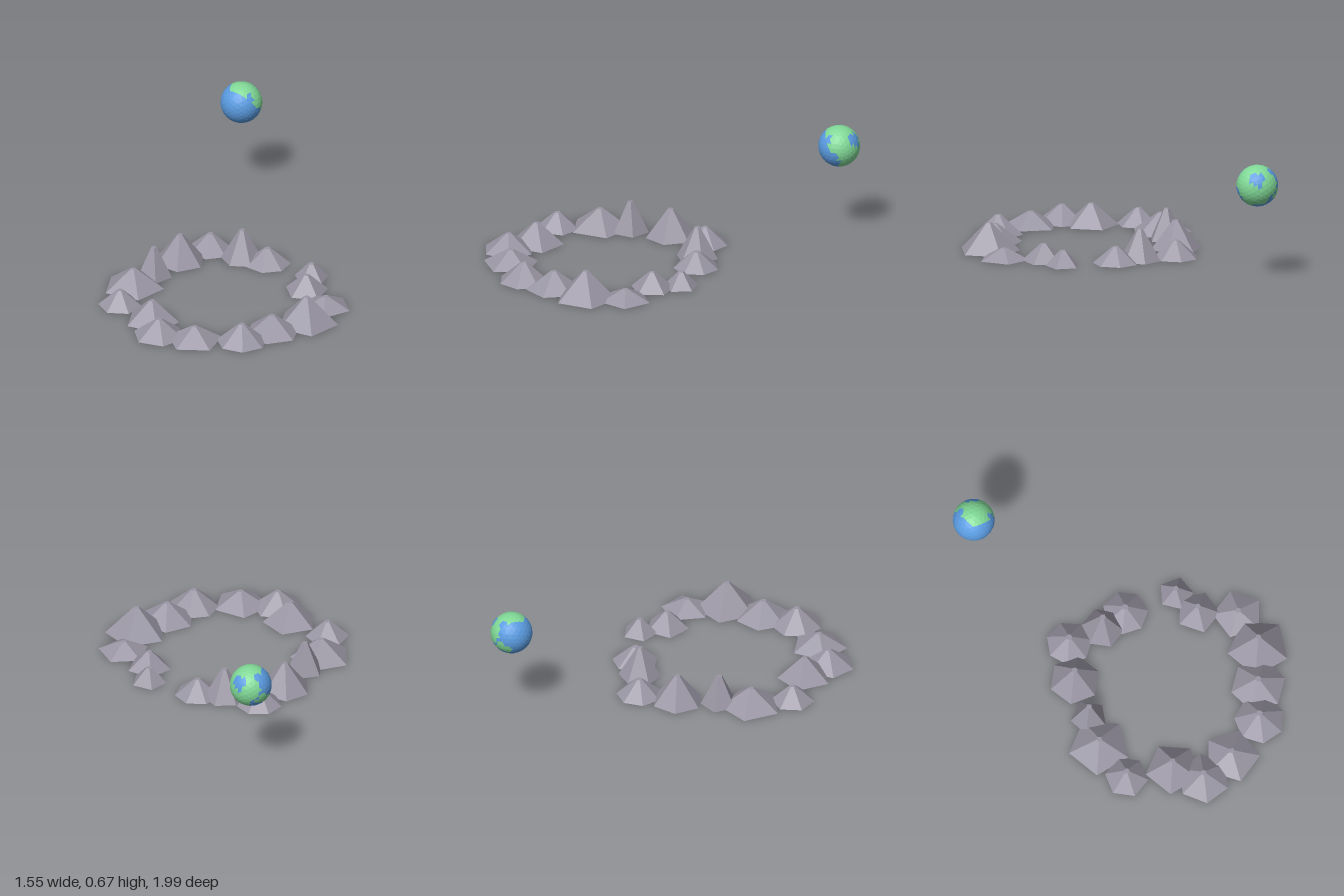
import * as THREE from 'three';

const rock = new THREE.MeshStandardMaterial({ name: 'rock grey', color: 0x9a96a4, flatShading: true });
const ocean = new THREE.MeshStandardMaterial({ name: 'ocean blue', color: 0x5a9be0, flatShading: true });
const land = new THREE.MeshStandardMaterial({ name: 'land green', color: 0x80d896, flatShading: true });

// Each peak: x, z, base radius, height, sides, direction of one corner in degrees
const PEAKS = [
  [-0.37, -0.185, 0.13, 0.1, 7, -90],
  [-0.16, -0.2, 0.12, 0.18, 6, -90],
  [-0.01, -0.238, 0.13, 0.095, 7, -87],
  [0.296, -0.238, 0.1, 0.09, 5, 90],
  [0.37, -0.09, 0.125, 0.1, 5, 95],
  [0.577, 0.005, 0.145, 0.065, 5, -86],
  [0.61, 0.228, 0.177, 0.162, 5, -27],
  [0.524, 0.44, 0.157, 0.106, 6, 6],
  [0.455, 0.635, 0.143, 0.11, 7, 0],
  [0.23, 0.778, 0.16, 0.086, 5, 21],
  [0.033, 0.847, 0.148, 0.1, 6, 104],
  [-0.106, 0.725, 0.155, 0.126, 5, -28],
  [-0.365, 0.677, 0.123, 0.095, 6, 90],
  [-0.44, 0.45, 0.175, 0.115, 5, 188],
  [-0.43, 0.27, 0.105, 0.18, 5, -96],
  [-0.423, 0.032, 0.145, 0.165, 6, 0],
];

// Continents and lakes on the globe: direction and angular radius in degrees
const CONTINENTS = [
  [0.1, 0.95, -0.15, 44], [0.75, 0.45, -0.35, 35], [0.45, -0.35, -0.8, 44],
  [-0.4, 0.3, -0.85, 36], [-0.8, -0.35, -0.4, 22],
];
const LAKES = [[0.3, 0.5, -0.85, 17], [-0.85, 0.45, -0.3, 17]];

function inside(list, dir) {
  const wobble = 5 * Math.sin(9 * dir.x + 4 * dir.y) + 4 * Math.sin(11 * dir.z - 5 * dir.y);
  return list.some(([x, y, z, r]) =>
    THREE.MathUtils.radToDeg(dir.angleTo(new THREE.Vector3(x, y, z))) < r + wobble);
}

function makePeak([x, z, radius, height, sides, corner], i) {
  const start = Math.PI / 2 - THREE.MathUtils.degToRad(corner);
  const geometry = new THREE.CylinderGeometry(0.017, radius, height, sides, 1, false, start);
  const peak = new THREE.Mesh(geometry, rock);
  peak.name = `peak${i + 1}`;
  peak.position.set(x, height / 2, z);
  return peak;
}

// Faceted globe with one material per triangle
function makeGlobe() {
  const geometry = new THREE.IcosahedronGeometry(0.118, 4);
  const pos = geometry.attributes.position;
  const centre = new THREE.Vector3();
  const v = new THREE.Vector3();
  for (let i = 0; i < pos.count; i += 3) {
    centre.set(0, 0, 0);
    for (let k = 0; k < 3; k++) centre.add(v.fromBufferAttribute(pos, i + k));
    centre.normalize();
    const isLand = inside(CONTINENTS, centre) && !inside(LAKES, centre);
    geometry.addGroup(i, 3, isLand ? 1 : 0);
  }
  const globe = new THREE.Mesh(geometry, [ocean, land]);
  globe.name = 'globe';
  globe.position.set(-0.67, 0.553, -0.882);
  return globe;
}

export function createModel() {
  const model = new THREE.Group();
  model.name = 'craterAndGlobe';

  // Ring of rocky peaks
  const ring = new THREE.Group();
  ring.name = 'craterRing';
  PEAKS.forEach((p, i) => ring.add(makePeak(p, i)));

  model.add(ring, makeGlobe());
  return model;
}
